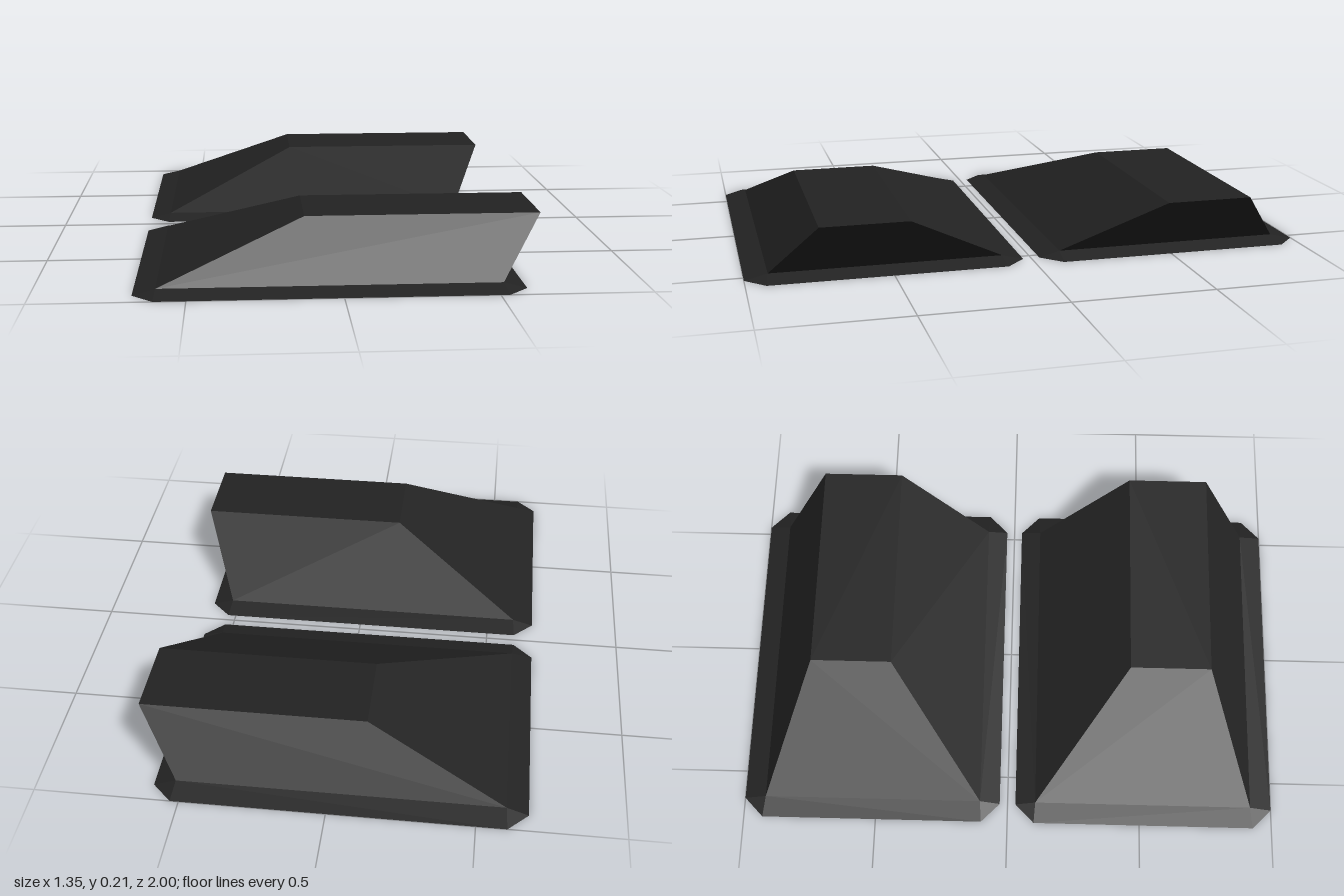
import * as THREE from 'three';

const charcoal = new THREE.MeshStandardMaterial({ color: 0x232323, side: THREE.DoubleSide });
charcoal.name = 'charcoal';

// Corners of a level rectangle, each cut by c (two points per corner)
function ring(x0, x1, z0, z1, y, c = 0) {
  return [
    [x0, y, z1 - c], [x0 + c, y, z1],
    [x1 - c, y, z1], [x1, y, z1 - c],
    [x1, y, z0 + c], [x1 - c, y, z0],
    [x0 + c, y, z0], [x0, y, z0 + c],
  ];
}

// Flat-faced band joining two rings, with an optional lid on the upper one
function skin(lower, upper, side, lid = false) {
  const points = [];
  const same = (p, q) => p.every((v, i) => v === q[i]);
  const tri = (a, b, c) => {
    if (same(a, b) || same(b, c) || same(a, c)) return;
    const corners = side > 0 ? [a, b, c] : [a, c, b];
    for (const [x, y, z] of corners) points.push(x, y, z * side);
  };
  const n = lower.length;
  for (let i = 0; i < n; i++) {
    const j = (i + 1) % n;
    tri(lower[i], lower[j], upper[j]);
    tri(lower[i], upper[j], upper[i]);
  }
  if (lid) for (let i = 1; i < n - 1; i++) tri(upper[0], upper[i], upper[i + 1]);
  const geometry = new THREE.BufferGeometry();
  geometry.setAttribute('position', new THREE.Float32BufferAttribute(points, 3));
  geometry.computeVertexNormals();
  return geometry;
}

// One hollow vent scoop: thin chamfered flange and a raked hood, open below
function makeScoop(side, name) {
  const rim = ring(-0.675, 0.6, 0.03, 1, 0, 0.07);
  const base = ring(-0.6, 0.525, 0.105, 0.92, 0.018);
  const crown = ring(-0.115, 0.675, 0.455, 0.76, 0.21);

  const flange = new THREE.Mesh(skin(rim, base, side), charcoal);
  flange.name = 'flange';
  const hood = new THREE.Mesh(skin(base, crown, side, true), charcoal);
  hood.name = 'hood';

  const scoop = new THREE.Group();
  scoop.name = name;
  scoop.add(flange, hood);
  return scoop;
}

export function createModel() {
  const model = new THREE.Group();
  model.name = 'ventScoops';
  // Mirrored pair
  model.add(makeScoop(1, 'frontScoop'), makeScoop(-1, 'backScoop'));
  return model;
}
